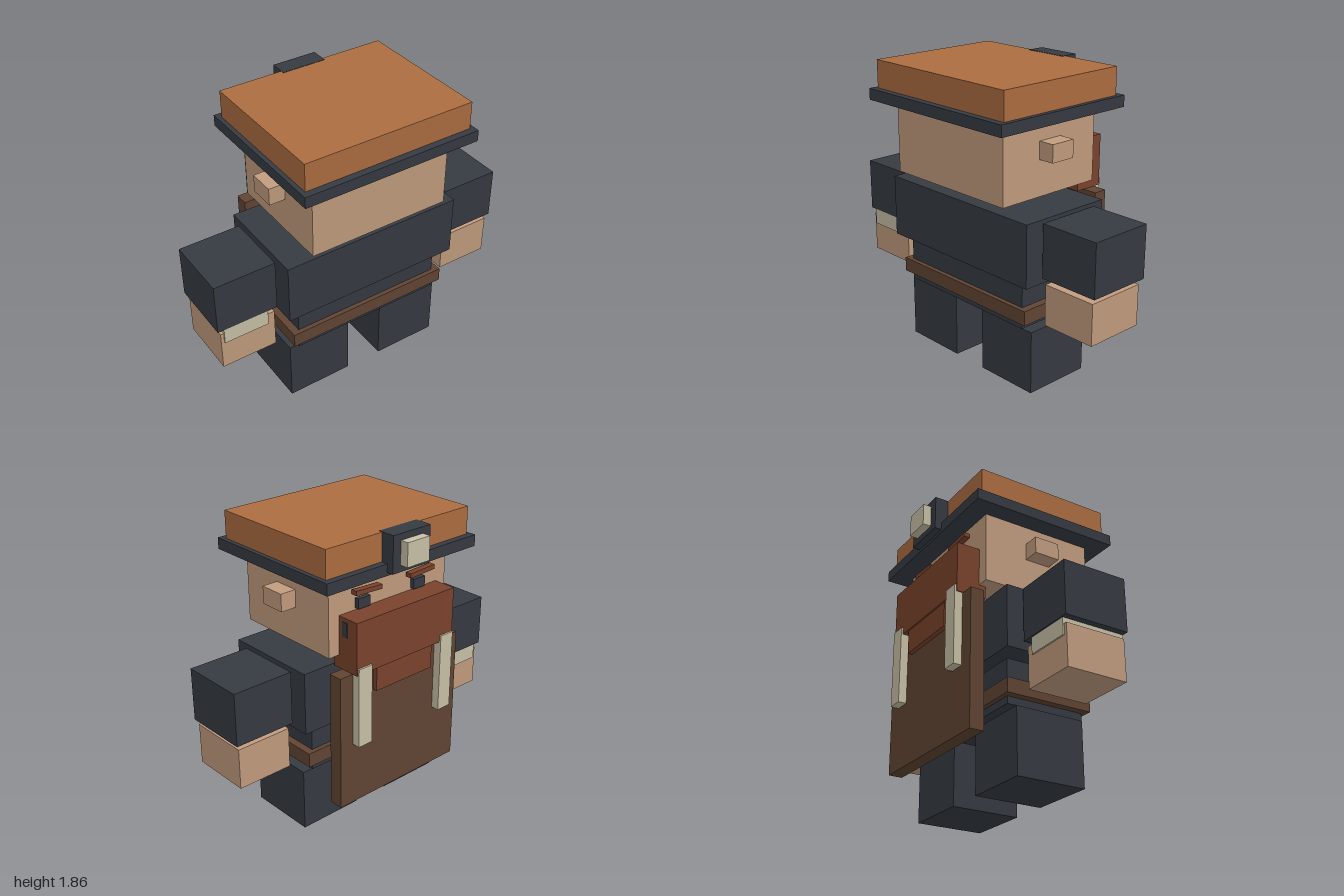
import * as THREE from 'three';

const mat = (name, color) => {
  const m = new THREE.MeshStandardMaterial({ color });
  m.name = name;
  return m;
};

export function createModel() {
  const model = new THREE.Group();
  model.name = 'blockyFigure';

  const dark = mat('charcoal cloth', 0x363b42);
  const orange = mat('orange brown', 0xad6d41);
  const skin = mat('skin', 0xc29d7f);
  const russet = mat('russet hair', 0x7a432c);
  const leather = mat('brown leather', 0x614533);
  const cream = mat('cream', 0xc9c1a7);

  // Box given by its extents on each axis
  const box = (name, material, [x0, x1], [y0, y1], [z0, z1]) => {
    const mesh = new THREE.Mesh(new THREE.BoxGeometry(x1 - x0, y1 - y0, z1 - z0), material);
    mesh.position.set((x0 + x1) / 2, (y0 + y1) / 2, (z0 + z1) / 2);
    mesh.name = name;
    model.add(mesh);
    return mesh;
  };
  // Box centred on x = 0
  const mid = (name, material, halfWidth, y, z) => box(name, material, [-halfWidth, halfWidth], y, z);
  // Mirrored pair of boxes
  const pair = (name, material, [x0, x1], y, z) => [
    box('left' + name, material, [x0, x1], y, z),
    box('right' + name, material, [-x1, -x0], y, z),
  ];

  // Cap with badge
  mid('capCrown', orange, 0.545, [1.68, 1.86], [-0.395, 0.49]);
  mid('capBrim', dark, 0.573, [1.62, 1.69], [-0.438, 0.533]);
  mid('badgeMount', dark, 0.142, [1.64, 1.862], [-0.482, -0.37]);
  mid('badge', cream, 0.085, [1.68, 1.823], [-0.535, -0.47]);

  // Head and face
  mid('head', skin, 0.458, [1.175, 1.625], [-0.312, 0.415]);
  pair('Ear', skin, [0.45, 0.56], [1.395, 1.503], [-0.03, 0.135]);
  pair('Eye', dark, [0.172, 0.262], [1.425, 1.487], [-0.34, -0.3]);
  pair('Eyebrow', russet, [0.113, 0.307], [1.522, 1.55], [-0.372, -0.332])
    .forEach((brow, i) => { brow.rotation.z = i ? -0.05 : 0.05; });

  // Beard, with a dark inset on its left side
  mid('beard', russet, 0.383, [1.095, 1.415], [-0.46, -0.27]);
  mid('beardTip', russet, 0.222, [0.943, 1.1], [-0.45, -0.28]);
  box('beardClip', dark, [0.35, 0.387], [1.3, 1.39], [-0.381, -0.341]);

  // Torso and belt
  mid('jacket', dark, 0.59, [0.715, 1.1], [-0.256, 0.36]);
  mid('waist', dark, 0.5, [0.418, 0.69], [-0.2, 0.302]);
  mid('belt', leather, 0.547, [0.463, 0.553], [-0.229, 0.33]);

  // Apron and its straps
  mid('apron', leather, 0.47, [0.24, 1.092], [-0.42, -0.332]);
  pair('ApronStrap', cream, [0.277, 0.377], [0.64, 1.138], [-0.472, -0.41]);

  // Arms and hands, with a band on the right wrist
  pair('Arm', dark, [0.61, 1], [0.757, 1.087], [-0.16, 0.253]);
  pair('Hand', skin, [0.625, 0.98], [0.467, 0.722], [-0.143, 0.242]);
  box('wristBand', cream, [-0.96, -0.672], [0.655, 0.757], [-0.152, 0.252]);

  // Legs
  pair('Leg', dark, [0.12, 0.545], [0, 0.398], [-0.17, 0.27]);

  return model;
}
